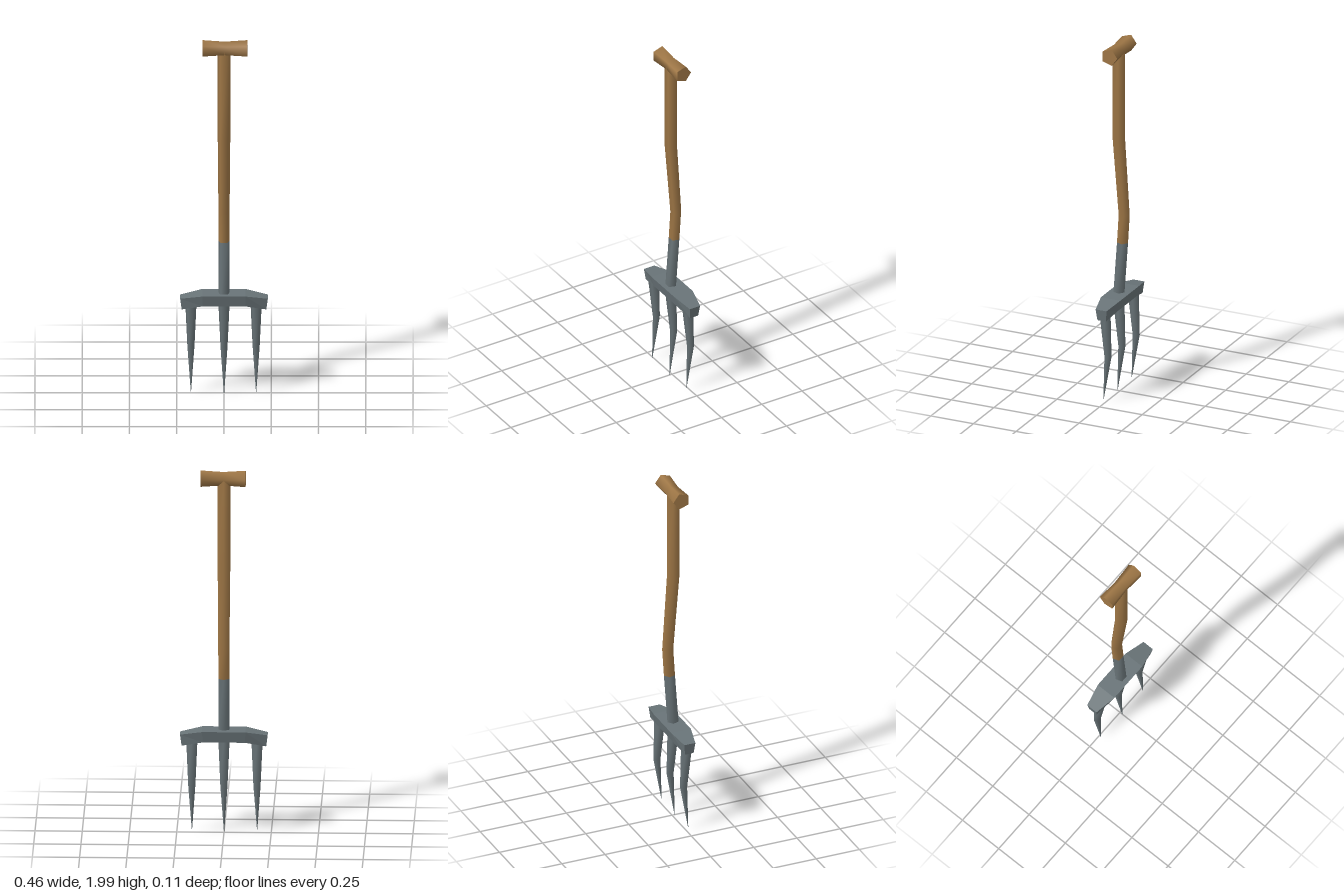
import * as THREE from 'three';

const wood = new THREE.MeshStandardMaterial({ color: 0x9f7746 });
wood.name = 'wood';
const metal = new THREE.MeshStandardMaterial({ color: 0x697478 });
metal.name = 'metal';

// Skin a list of rings (each counter-clockwise about the path) and close both ends with flat caps
function loft(rings, flat) {
  const n = rings[0].length, pos = [], idx = [];
  rings.forEach(r => r.forEach(p => pos.push(...p)));
  for (let i = 0; i < rings.length - 1; i++) {
    for (let j = 0; j < n; j++) {
      const a = i * n + j, b = i * n + (j + 1) % n;
      idx.push(a, b, b + n, a, b + n, a + n);
    }
  }
  [rings[0], rings[rings.length - 1]].forEach((ring, end) => {
    const s = pos.length / 3;
    ring.forEach(p => pos.push(...p));
    for (let j = 1; j < n - 1; j++) idx.push(s, s + (end ? j : j + 1), s + (end ? j + 1 : j));
  });
  let geo = new THREE.BufferGeometry();
  geo.setAttribute('position', new THREE.Float32BufferAttribute(pos, 3));
  geo.setIndex(idx);
  if (flat) geo = geo.toNonIndexed();
  geo.computeVertexNormals();
  return geo;
}

const SIDES = 5;
const angles = Array.from({ length: SIDES }, (_, i) => (i / SIDES) * Math.PI * 2);

// Five-sided ring around a vertical path, one corner pointing back
const ringY = ([y, z, r]) => angles.map(t => [-r * Math.sin(t), y, z - r * Math.cos(t)]);
// Five-sided ring around a path along x, one corner pointing back
const ringX = ([x, y, z, r]) => angles.map(t => [x, y + r * Math.sin(t), z - r * Math.cos(t)]);
// Four-cornered bar section, narrower underneath
const ringBar = ([x0, x1, top, bottom, zTop, zBottom]) =>
  [[x0, top, zTop], [x1, bottom, zBottom], [x1, bottom, -zBottom], [x0, top, -zTop]];

export function createModel() {
  const group = new THREE.Group();
  const add = (name, geo, mat, x = 0) => {
    const mesh = new THREE.Mesh(geo, mat);
    mesh.name = name;
    mesh.position.x = x;
    group.add(mesh);
  };

  // Cross grip, waisted in the middle
  add('grip', loft([
    [-0.115, 1.957, 0.0045, 0.0475],
    [0.004, 1.957, 0.0035, 0.039],
    [0.123, 1.957, 0.0045, 0.0475],
  ].map(ringX)), wood);

  // Bent wooden shaft: height, z, radius
  add('shaft', loft([
    [0.86, -0.016, 0.031],
    [1.02, -0.026, 0.031],
    [1.45, 0.005, 0.035],
    [1.95, 0.006, 0.036],
  ].map(ringY)), wood);

  // Metal socket continuing the shaft into the crossbar
  add('socket', loft([
    [0.54, 0.007, 0.031],
    [0.86, -0.016, 0.031],
  ].map(ringY)), metal);

  // Crossbar with drooping, tapered ends
  add('crossbar', loft([
    [-0.232, -0.224, 0.553, 0.49, 0.032, 0.025],
    [-0.115, -0.112, 0.575, 0.514, 0.057, 0.043],
    [0.115, 0.112, 0.575, 0.514, 0.057, 0.043],
    [0.232, 0.224, 0.553, 0.49, 0.032, 0.025],
  ].map(ringBar), true), metal);

  // Three kinked tines tapering to points
  [[-0.175, 0.012], [0, 0], [0.17, 0.012]].forEach(([x, lift], i) => {
    add(['rightTine', 'middleTine', 'leftTine'][i], loft([
      [0.008 + lift, 0.015, 0.001],
      [0.27, -0.012, 0.02],
      [0.53, 0.006, 0.032],
    ].map(ringY)), metal, x);
  });

  return group;
}
